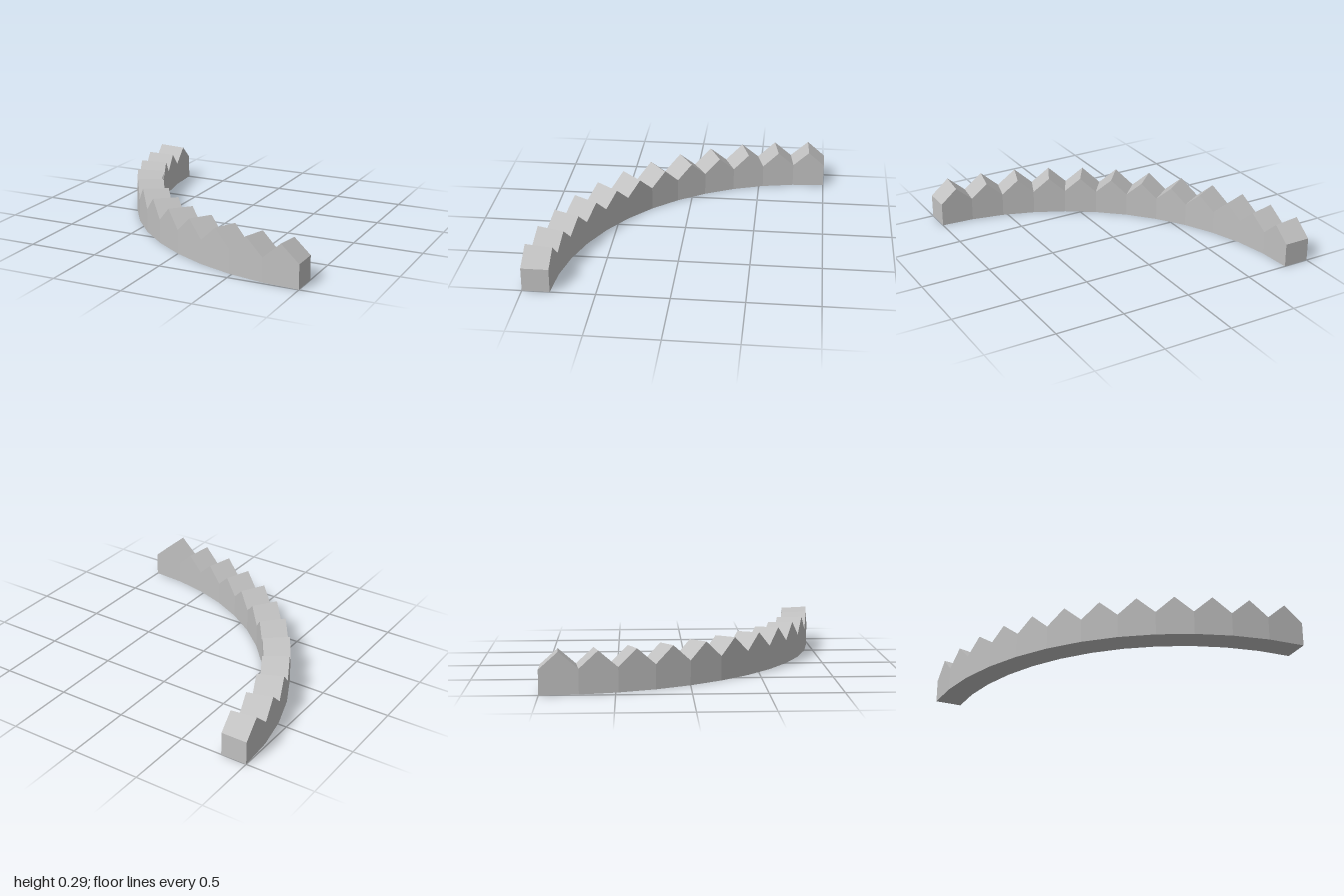
import * as THREE from 'three';

const TEETH = 12, OUTER = 2, INNER = 1.81;
const VALLEY = 0.17, SLOPE = 0.88; // notch height and tooth rise over half width
const STEP = Math.PI / 2 / TEETH;

// Cross-section at station i: outer bottom, outer top, inner top, inner bottom.
// Odd stations are tooth peaks, at the middle of each straight segment.
function section(i) {
  const a = (i * STEP) / 2, peak = i % 2 === 1;
  const point = (radius, top) => {
    const r = peak ? radius * Math.cos(STEP / 2) : radius;
    const rise = peak ? SLOPE * radius * Math.sin(STEP / 2) : 0;
    return [1 - r * Math.sin(a), top ? VALLEY + rise : 0, -1 + r * Math.cos(a)];
  };
  return [point(OUTER, false), point(OUTER, true), point(INNER, true), point(INNER, false)];
}

export function createModel() {
  const positions = [];
  const quad = (a, b, c, d) => positions.push(...a, ...b, ...c, ...a, ...c, ...d);

  // Walls, sawtooth top and underside
  const rings = Array.from({ length: TEETH * 2 + 1 }, (_, i) => section(i));
  for (let i = 0; i < TEETH * 2; i++) {
    const p = rings[i], q = rings[i + 1];
    for (let k = 0; k < 4; k++) {
      const n = (k + 1) % 4;
      quad(q[k], p[k], p[n], q[n]);
    }
  }

  // End caps
  const s = rings[0], e = rings[TEETH * 2];
  quad(s[0], s[3], s[2], s[1]);
  quad(e[0], e[1], e[2], e[3]);

  const geometry = new THREE.BufferGeometry();
  geometry.setAttribute('position', new THREE.Float32BufferAttribute(positions, 3));
  geometry.computeVertexNormals();

  const grey = new THREE.MeshStandardMaterial({ color: 0xc0c0c0 });
  grey.name = 'light grey';
  const rack = new THREE.Mesh(geometry, grey);
  rack.name = 'curvedToothedRack';

  const group = new THREE.Group();
  group.name = 'quarterCircleRack';
  group.add(rack);
  return group;
}
